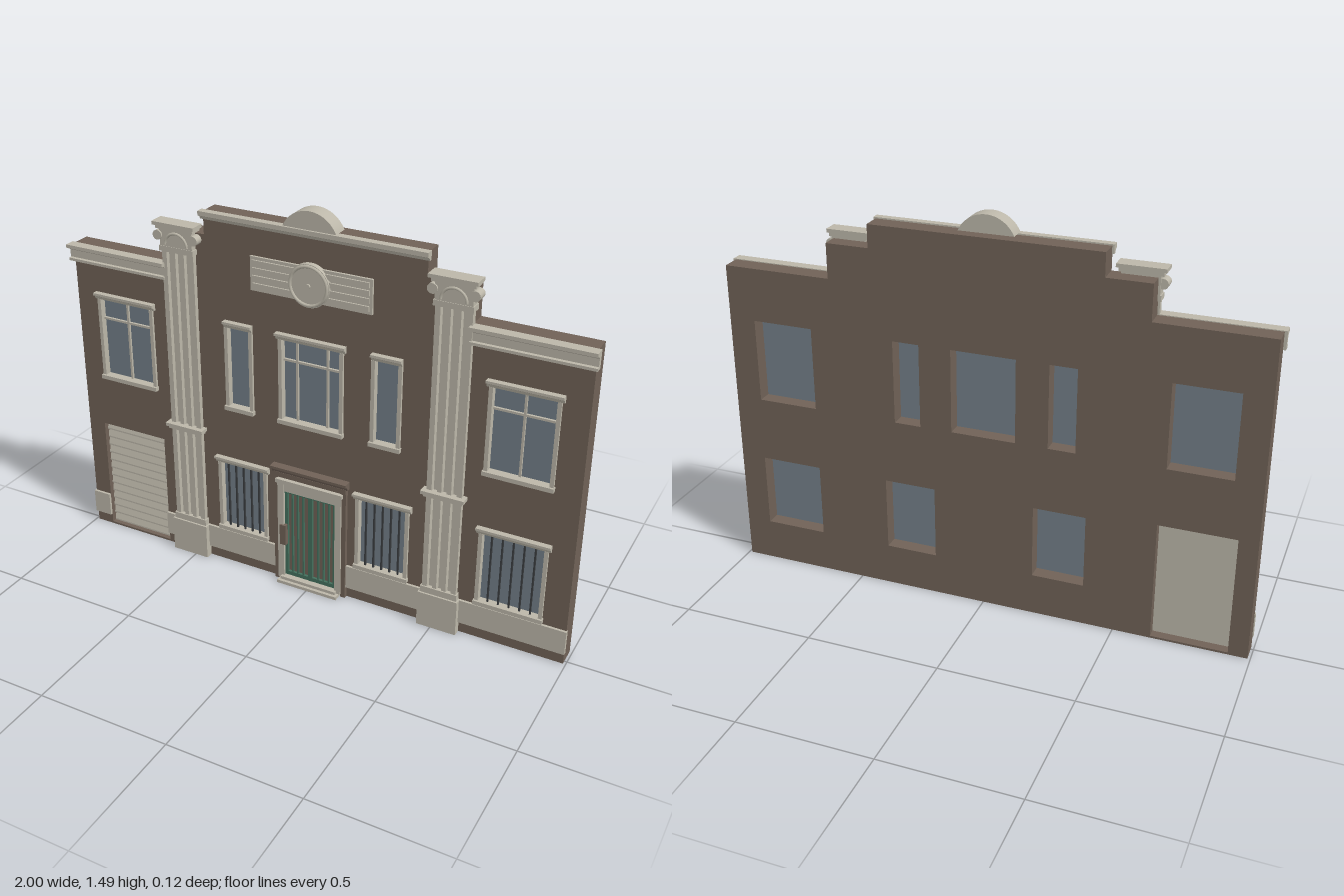
import * as THREE from 'three';

const mat = (name, color, side = THREE.FrontSide) => {
  const m = new THREE.MeshStandardMaterial({ color, side });
  m.name = name;
  return m;
};
const BACK = -0.06, FRONT = 0.015;

export function createModel() {
  const root = new THREE.Group();
  root.name = 'facade';
  const brick = mat('brownWall', 0x706257);
  const stone = mat('paleStone', 0xbcb7a9);
  const glass = mat('blueGreyGlass', 0x737f88);
  const green = mat('greenDoor', 0x44705d);
  const iron = mat('darkIron', 0x3a3d40);

  const group = (name, parent = root) => {
    const g = new THREE.Group();
    g.name = name;
    parent.add(g);
    return g;
  };
  const add = (parent, name, geo, material) => {
    const m = new THREE.Mesh(geo, material);
    m.name = name;
    parent.add(m);
    return m;
  };
  // Box given by its bounds
  const box = (parent, name, material, x0, x1, y0, y1, z0, z1) => {
    const g = new THREE.BoxGeometry(x1 - x0, y1 - y0, z1 - z0);
    g.translate((x0 + x1) / 2, (y0 + y1) / 2, (z0 + z1) / 2);
    return add(parent, name, g, material);
  };
  // Moulding: a [z, y] profile swept along x
  const moulding = (parent, name, material, x0, x1, profile) => {
    const s = new THREE.Shape(profile.map(([z, y]) => new THREE.Vector2(z, y)));
    const g = new THREE.ExtrudeGeometry(s, { depth: x1 - x0, bevelEnabled: false });
    g.rotateY(-Math.PI / 2).translate(x1, 0, 0);
    return add(parent, name, g, material);
  };
  const disc = (parent, name, material, r, x, y, z0, z1) => {
    const g = new THREE.CylinderGeometry(r, r, z1 - z0, 32);
    g.rotateX(Math.PI / 2).translate(x, y, (z0 + z1) / 2);
    return add(parent, name, g, material);
  };

  // Openings: [x0, x1, y0, y1, mullions, has transom, has bars]
  const windows = [[-0.12, 0.12, 0.685, 1.0, 2, true, false]];
  for (const s of [-1, 1]) {
    const mirrored = (a, b, ...rest) => windows.push([Math.min(s * a, s * b), Math.max(s * a, s * b), ...rest]);
    mirrored(0.66, 0.89, 0.685, 1.0, 1, true, false);
    mirrored(0.24, 0.34, 0.685, 1.0, 0, false, false);
    mirrored(0.19, 0.385, 0.16, 0.44, 0, false, true);
  }
  windows.push([0.66, 0.895, 0.16, 0.44, 0, false, true]);
  const garage = [-0.92, -0.64, 0.008, 0.465];

  // Stepped wall with openings cut through
  const outline = [[-0.99, 0], [0.99, 0], [0.99, 1.2], [0.58, 1.2], [0.58, 1.33], [0.42, 1.33], [0.42, 1.415],
    [-0.42, 1.415], [-0.42, 1.33], [-0.58, 1.33], [-0.58, 1.2], [-0.99, 1.2]];
  const wallShape = new THREE.Shape(outline.map(p => new THREE.Vector2(...p)));
  for (const [a, b, c, d] of [...windows, garage]) {
    wallShape.holes.push(new THREE.Path([[a, c], [a, d], [b, d], [b, c]].map(p => new THREE.Vector2(...p))));
  }
  const wallGeo = new THREE.ExtrudeGeometry(wallShape, { depth: FRONT - BACK, bevelEnabled: false });
  add(root, 'wall', wallGeo.translate(0, 0, BACK), brick);

  // Windows with frame, lintel, sill and glazing or security bars
  for (const [a, b, c, d, mullions, transom, bars] of windows) {
    const w = group(bars ? 'barredWindow' : 'window');
    box(w, 'pane', glass, a, b, c, d, -0.006, 0);
    for (const x of [a, b]) box(w, 'jamb', stone, x - 0.007, x + 0.007, c, d, 0, 0.025);
    const over = b - a > 0.15 ? 0.016 : 0.007;
    moulding(w, 'lintel', stone, a - over, b + over,
      [[0, d], [0.024, d], [0.027, d + 0.01], [0.037, d + 0.016], [0.037, d + 0.025], [0, d + 0.025]]);
    box(w, 'sill', stone, a - 0.01, b + 0.01, c - 0.012, c + 0.004, 0, 0.033);
    for (let i = 1; i <= mullions; i++) {
      const x = a + (b - a) * (mullions === 1 ? 0.5 : i === 1 ? 0.25 : 0.75);
      box(w, 'mullion', stone, x - 0.004, x + 0.004, c, d, 0, 0.009);
    }
    if (transom) box(w, 'transom', stone, a, b, d - 0.085, d - 0.077, 0, 0.009);
    if (bars) {
      for (let i = 1; i <= 5; i++) {
        const x = a + ((b - a) * i) / 6;
        box(w, 'bar', iron, x - 0.003, x + 0.003, c, d, 0.01, 0.017);
      }
    }
  }

  // Roller shutter made of lapped slats
  const shutter = group('garageShutter');
  const [ga, gb, gc, gd] = garage;
  box(shutter, 'shutterBack', stone, ga, gb, gc, gd, -0.025, -0.015);
  const slats = 13, step = (gd - gc) / slats;
  for (let i = 0; i < slats; i++) {
    const y = gc + i * step;
    moulding(shutter, 'slat', stone, ga, gb,
      [[-0.015, y], [-0.003, y], [-0.003, y + 0.006], [-0.011, y + step], [-0.015, y + step]]);
  }

  // Stone band near the ground
  const band = group('baseBand');
  for (const [a, b] of [[-0.993, -0.92], [-0.64, -0.59], [-0.455, -0.145], [0.145, 0.455], [0.59, 0.993]]) {
    box(band, 'bandSection', stone, a, b, 0.045, 0.14, 0.01, 0.025);
  }

  // Cornices on the wings and the raised centre
  for (const [a, b] of [[-1, -0.58], [0.58, 1]]) {
    moulding(root, 'wingCornice', stone, a, b, [[0.01, 1.138], [0.038, 1.138], [0.038, 1.148], [0.028, 1.15],
      [0.028, 1.178], [0.04, 1.188], [0.05, 1.19], [0.05, 1.203], [0.01, 1.203]]);
  }
  moulding(root, 'centreCornice', stone, -0.428, 0.428, [[0.01, 1.388], [0.022, 1.388], [0.026, 1.398],
    [0.038, 1.404], [0.038, 1.42], [0.01, 1.42]]);

  // Rounded crest above the centre
  const crest = new THREE.Shape();
  crest.absarc(0, 1.376, 0.109, Math.asin(0.044 / 0.109), Math.PI - Math.asin(0.044 / 0.109), false);
  crest.closePath();
  const crestGeo = new THREE.ExtrudeGeometry(crest, { depth: 0.06, bevelEnabled: false, curveSegments: 24 });
  add(root, 'crest', crestGeo.translate(0, 0, -0.03), stone);

  // Ribbed plaque with central medallion
  const plaque = group('plaque');
  box(plaque, 'plaqueBack', stone, -0.232, 0.232, 1.163, 1.288, 0.01, 0.024);
  for (let i = 0; i < 4; i++) {
    const y = 1.174 + i * 0.028;
    box(plaque, 'plaqueRib', stone, -0.222, 0.222, y, y + 0.019, 0.02, 0.03);
  }
  disc(plaque, 'medallion', stone, 0.078, 0, 1.225, 0.015, 0.036);
  const rim = add(plaque, 'medallionRim', new THREE.TorusGeometry(0.07, 0.006, 6, 32), stone);
  rim.position.set(0, 1.225, 0.036);
  disc(plaque, 'medallionBoss', stone, 0.008, 0, 1.225, 0.03, 0.042);

  // Fluted pilasters
  for (const s of [-1, 1]) {
    const p = group(s < 0 ? 'rightPilaster' : 'leftPilaster');
    p.position.x = s * 0.522;
    box(p, 'pedestal', stone, -0.076, 0.076, 0, 0.14, 0.01, 0.045);
    box(p, 'pedestalCap', stone, -0.07, 0.07, 0.14, 0.165, 0.01, 0.038);
    // Cross-section in x and z with three grooves
    const pts = [[-0.065, -0.01], [-0.065, -0.033]];
    for (const c of [-0.036, 0, 0.036]) {
      pts.push([c - 0.01, -0.033], [c - 0.006, -0.022], [c + 0.006, -0.022], [c + 0.01, -0.033]);
    }
    pts.push([0.065, -0.033], [0.065, -0.01]);
    const section = new THREE.Shape(pts.map(q => new THREE.Vector2(...q)));
    const shaft = new THREE.ExtrudeGeometry(section, { depth: 1.095, bevelEnabled: false });
    add(p, 'flutedShaft', shaft.rotateX(-Math.PI / 2).translate(0, 0.165, 0), stone);
    box(p, 'shaftRing', stone, -0.072, 0.072, 0.54, 0.552, 0.01, 0.043);
    box(p, 'shaftRingTop', stone, -0.08, 0.08, 0.552, 0.565, 0.01, 0.052);
    // Capital
    box(p, 'neckRing', stone, -0.07, 0.07, 1.25, 1.27, 0, 0.042);
    box(p, 'capitalBody', stone, -0.066, 0.066, 1.27, 1.335, 0, 0.04);
    const arc = add(p, 'capitalArc', new THREE.TorusGeometry(0.045, 0.005, 6, 20, Math.PI), stone);
    arc.position.set(0, 1.276, 0.04);
    for (const x of [-0.073, 0.073]) {
      disc(p, 'volute', stone, 0.018, x, 1.308, 0.005, 0.046);
    }
    box(p, 'abacus', stone, -0.076, 0.076, 1.335, 1.348, 0, 0.05);
    box(p, 'abacusTop', stone, -0.085, 0.085, 1.348, 1.361, 0, 0.058);
  }

  // Entrance: brown surround, stone frame and green grille door
  const door = group('entrance');
  for (const s of [-1, 1]) {
    const side = (name, m, a, b, y0, y1, z1) =>
      box(door, name, m, Math.min(s * a, s * b), Math.max(s * a, s * b), y0, y1, 0.01, z1);
    side('outerJamb', brick, 0.13, 0.148, 0, 0.47, 0.03);
    side('stoneJamb', stone, 0.106, 0.131, 0.012, 0.43, 0.036);
    side('doorStile', green, 0.094, 0.106, 0.022, 0.392, 0.025);
  }
  box(door, 'outerHead', brick, -0.148, 0.148, 0.45, 0.47, 0.01, 0.032);
  moulding(door, 'hood', brick, -0.155, 0.155, [[0.01, 0.468], [0.03, 0.468], [0.036, 0.482],
    [0.048, 0.488], [0.048, 0.498], [0.01, 0.498]]);
  box(door, 'stoneHead', stone, -0.131, 0.131, 0.395, 0.43, 0.01, 0.034);
  box(door, 'headMoulding', stone, -0.136, 0.136, 0.43, 0.446, 0.01, 0.042);
  box(door, 'topRail', green, -0.106, 0.106, 0.385, 0.395, 0.01, 0.025);
  box(door, 'bottomRail', green, -0.106, 0.106, 0.02, 0.04, 0.01, 0.025);
  box(door, 'centreStile', green, -0.008, 0.008, 0.022, 0.392, 0.01, 0.026);
  for (const x of [-0.076, -0.054, -0.031, 0.031, 0.054, 0.076]) {
    box(door, 'grilleBar', green, x - 0.003, x + 0.003, 0.022, 0.392, 0.01, 0.024);
  }
  box(door, 'intercom', brick, -0.12, -0.095, 0.165, 0.25, 0.02, 0.042);
  box(door, 'lowerStep', stone, -0.125, 0.125, 0, 0.012, 0.01, 0.06);
  box(door, 'upperStep', stone, -0.115, 0.115, 0.012, 0.024, 0.01, 0.048);

  return root;
}
